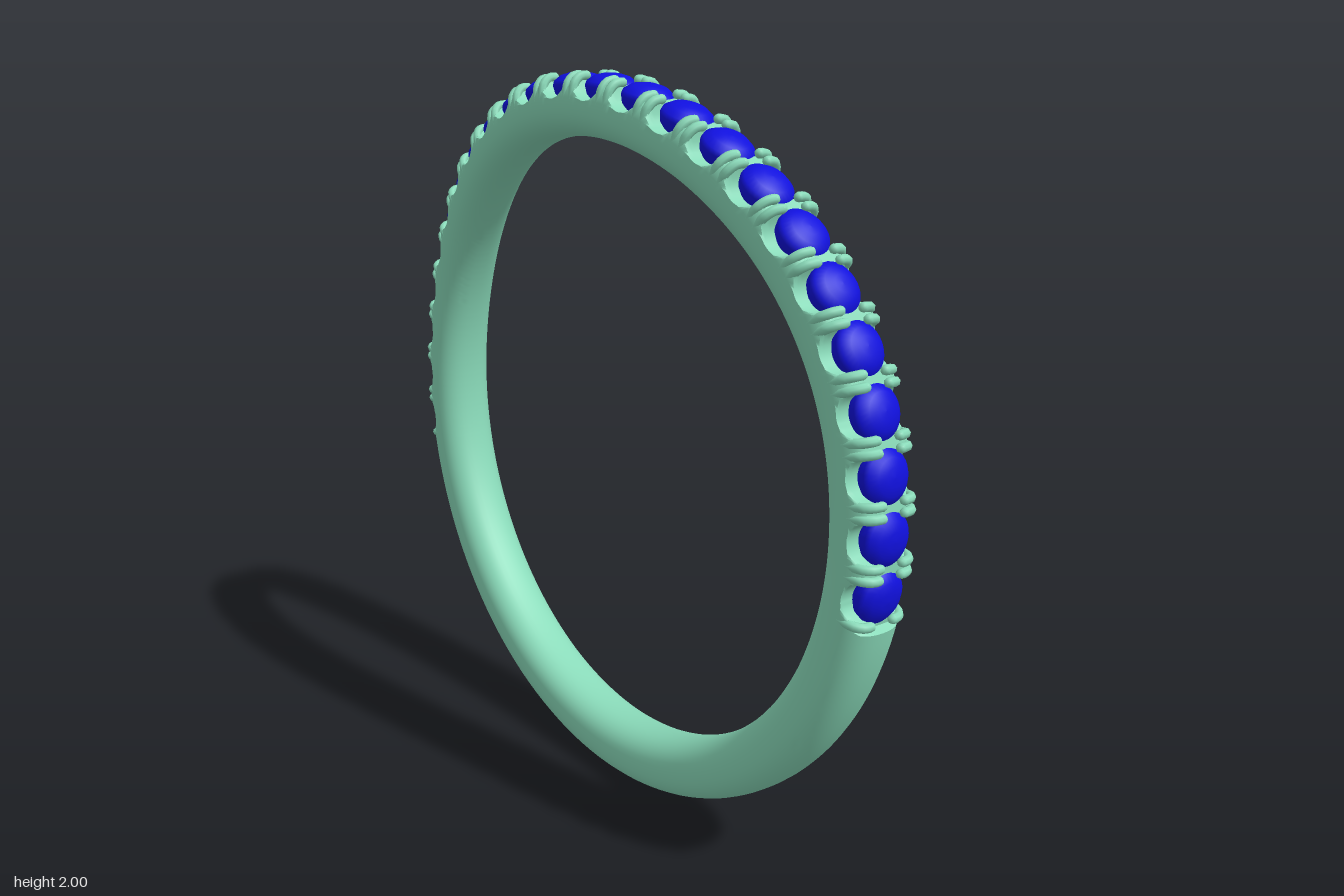
import * as THREE from 'three';
import { mergeGeometries, toCreasedNormals } from 'three/addons/utils/BufferGeometryUtils.js';

const PER_SIDE = 12;                              // stones on each side of the top
const STEP = THREE.MathUtils.degToRad(8.48);      // angle between stones
const END = PER_SIDE * STEP;                      // where the settings stop
const MID_R = 0.918, HALF_R = 0.082, HALF_Z = 0.09;

// Sideways offset of the band: flat below, sweeping forward at the top
// (a = angle from the top of the ring)
const sweep = (a) => -0.05 + 0.1 * Math.pow(Math.max(0, Math.cos(a)), 2.8);

// Highest radius the band may reach, scalloped beside every stone
function bandLimit(a) {
  if (Math.abs(a) > END + 1e-4) return 2;
  const u = (a / STEP - Math.floor(a / STEP) - 0.5) * STEP * 0.97;
  const w = 0.05;
  return Math.abs(u) < w ? 0.975 - 0.043 * Math.sqrt(1 - (u / w) ** 2) : 0.977;
}

function bandGeometry() {
  const angles = [];
  const upper = PER_SIDE * 2 * 16, lower = 90, M = 36;
  for (let i = 0; i <= upper; i++) angles.push(-END + (2 * END * i) / upper);
  for (let i = 0; i < lower; i++) {
    angles.push(END + 0.006 + ((2 * Math.PI - 2 * END - 0.012) * i) / (lower - 1));
  }
  const pos = [], index = [], N = angles.length;
  const soft = (v) => Math.sign(v) * Math.pow(Math.abs(v), 0.85);
  angles.forEach((a, i) => {
    const limit = bandLimit(a > Math.PI ? a - 2 * Math.PI : a);
    for (let j = 0; j < M; j++) {
      const t = (j / M) * Math.PI * 2;
      const r = Math.min(MID_R + HALF_R * soft(Math.cos(t)), limit);
      pos.push(r * Math.sin(a), 1 + r * Math.cos(a), sweep(a) + HALF_Z * soft(Math.sin(t)));
      const i2 = (i + 1) % N, j2 = (j + 1) % M;
      const p = i * M + j, q = i * M + j2, s = i2 * M + j, v = i2 * M + j2;
      index.push(p, q, s, q, v, s);
    }
  });
  const g = new THREE.BufferGeometry();
  g.setAttribute('position', new THREE.Float32BufferAttribute(pos, 3));
  g.setIndex(index);
  return toCreasedNormals(g, 0.7);
}

// Round stone with a shallow dome, its axis along the ring's radius
function stoneGeometry() {
  const profile = [
    [0, 0.915], [0.045, 0.925], [0.062, 0.945], [0.067, 0.965],
    [0.063, 0.977], [0.045, 0.99], [0.022, 0.996], [0, 0.997],
  ].map(([x, y]) => new THREE.Vector2(x, y));
  return new THREE.LatheGeometry(profile, 28);
}

// Claw rising up the flank of the band and bending inwards over the stone
function prongGeometry() {
  const path = new THREE.CatmullRomCurve3([
    new THREE.Vector3(0, 0.93, 0.078),
    new THREE.Vector3(0, 0.968, 0.073),
    new THREE.Vector3(0, 0.986, 0.055),
    new THREE.Vector3(0, 0.988, 0.036),
  ]);
  const tip = new THREE.SphereGeometry(0.012, 8, 6).translate(0, 0.988, 0.036);
  return mergeGeometries([new THREE.TubeGeometry(path, 8, 0.012, 8, false), tip]);
}

export function createModel() {
  const ring = new THREE.Group();
  ring.name = 'ring';
  const metal = new THREE.MeshStandardMaterial({ color: 0x8adbba });
  const blue = new THREE.MeshStandardMaterial({ color: 0x1010dd });

  const add = (parent, geometry, material, name) => {
    const mesh = new THREE.Mesh(geometry, material);
    mesh.name = name;
    parent.add(mesh);
    return mesh;
  };
  // Group turned about the ring's centre, so local y points outwards
  const station = (a, name) => {
    const g = new THREE.Group();
    g.name = name;
    g.position.set(0, 1, sweep(a));
    g.rotation.z = -a;
    ring.add(g);
    return g;
  };

  add(ring, bandGeometry(), metal, 'band');

  // Stones, each held by two pairs of claws
  const stone = stoneGeometry(), prong = prongGeometry();
  for (let k = 0; k < PER_SIDE * 2; k++) {
    const a = (k + 0.5 - PER_SIDE) * STEP;
    add(station(a, 'stoneSetting'), stone, blue, 'stone');
    for (const side of [-1, 1]) {
      const pair = station(a + side * (STEP / 2 - 0.0145), 'prongPair');
      add(pair, prong, metal, 'frontProng');
      add(pair, prong, metal, 'backProng').rotation.y = Math.PI;
    }
  }
  return ring;
}
